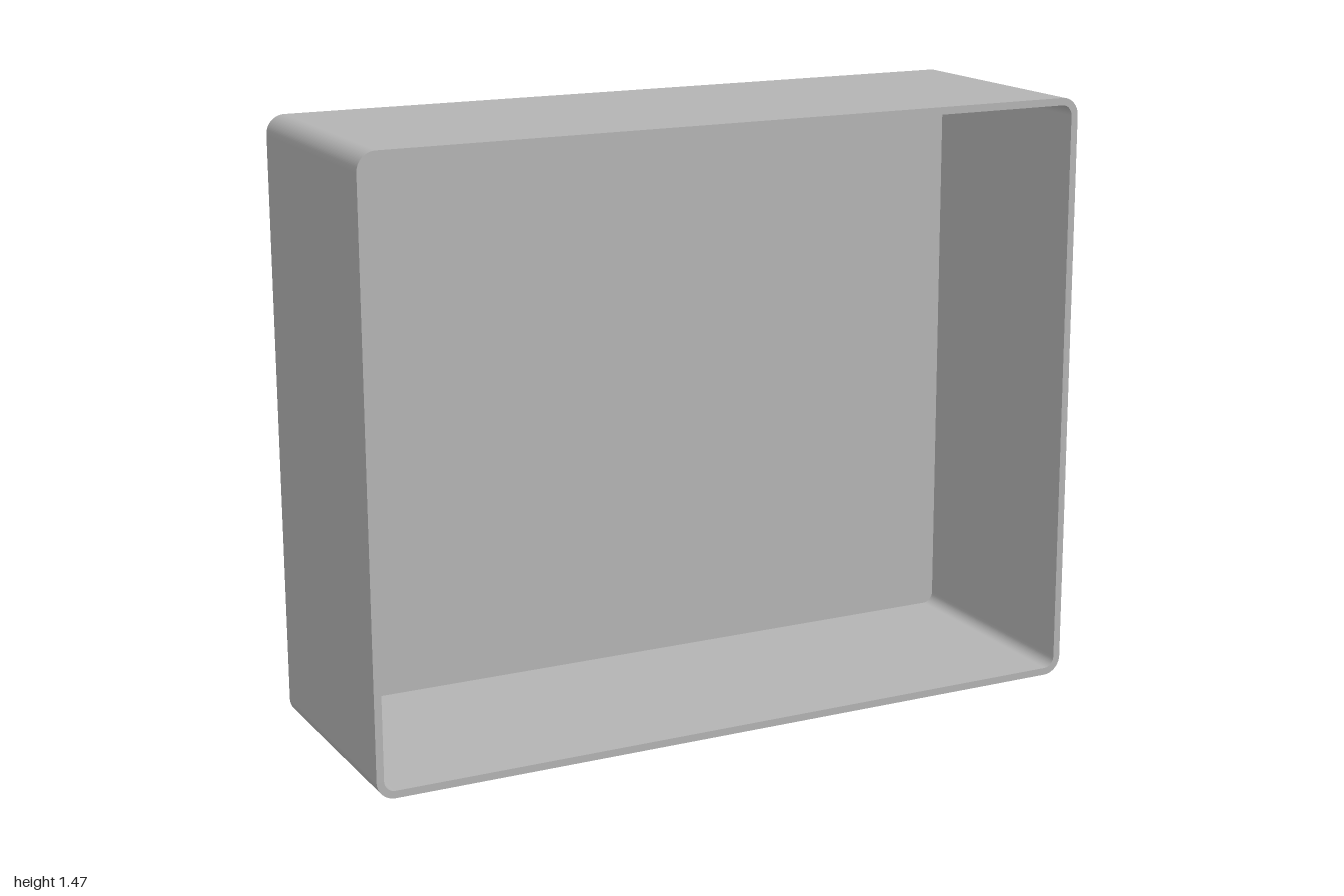
import * as THREE from 'three';

const gray = new THREE.MeshStandardMaterial({ color: 0xb3b3b3 });
gray.name = 'gray';

// Traces a rounded rectangle into a Shape or Path
function roundedRect(path, x0, y0, x1, y1, r) {
  path.moveTo(x0 + r, y0);
  path.lineTo(x1 - r, y0);
  path.absarc(x1 - r, y0 + r, r, -Math.PI / 2, 0, false);
  path.lineTo(x1, y1 - r);
  path.absarc(x1 - r, y1 - r, r, 0, Math.PI / 2, false);
  path.lineTo(x0 + r, y1);
  path.absarc(x0 + r, y1 - r, r, Math.PI / 2, Math.PI, false);
  path.lineTo(x0, y0 + r);
  path.absarc(x0 + r, y0 + r, r, Math.PI, Math.PI * 1.5, false);
  return path;
}

function part(name, geometry, parent) {
  const mesh = new THREE.Mesh(geometry, gray);
  mesh.name = name;
  parent.add(mesh);
  return mesh;
}

// Extrudes a shape from z0 to z1
function extrude(shape, z0, z1) {
  return new THREE.ExtrudeGeometry(shape, { depth: z1 - z0, bevelEnabled: false, curveSegments: 12 })
    .translate(0, 0, z0);
}

export function createModel() {
  const model = new THREE.Group();
  model.name = 'openCase';
  const right = 0.845, top = 1.474, depth = 0.302, wall = 0.018, back = -depth + 0.02;
  const outline = () => roundedRect(new THREE.Shape(), -1, 0, right, top, 0.045);

  // Hollow case: walls open at the front, closed by a back panel
  const frame = outline();
  frame.holes.push(roundedRect(new THREE.Path(), -1 + wall, wall, right - wall, top - wall, 0.027));
  part('caseWalls', extrude(frame, back, depth), model);
  part('backPanel', extrude(outline(), -depth, back), model);

  // Vertical bar handle on two standoff brackets
  const handle = new THREE.Group();
  handle.name = 'handle';
  model.add(handle);
  const z = -0.151;
  part('handleBar', new THREE.CylinderGeometry(0.026, 0.026, 0.98, 32), handle).position.set(0.974, 0.74, z);
  for (const y of [0.4, 1.081]) {
    const block = roundedRect(new THREE.Shape(), 0.866, y - 0.04, 0.98, y + 0.04, 0.01);
    part('handleBracket', extrude(block, z - 0.053, z + 0.053), handle);
    part('bracketStem', new THREE.BoxGeometry(0.03, 0.022, 0.056), handle).position.set(0.855, y, z);
  }
  return model;
}
